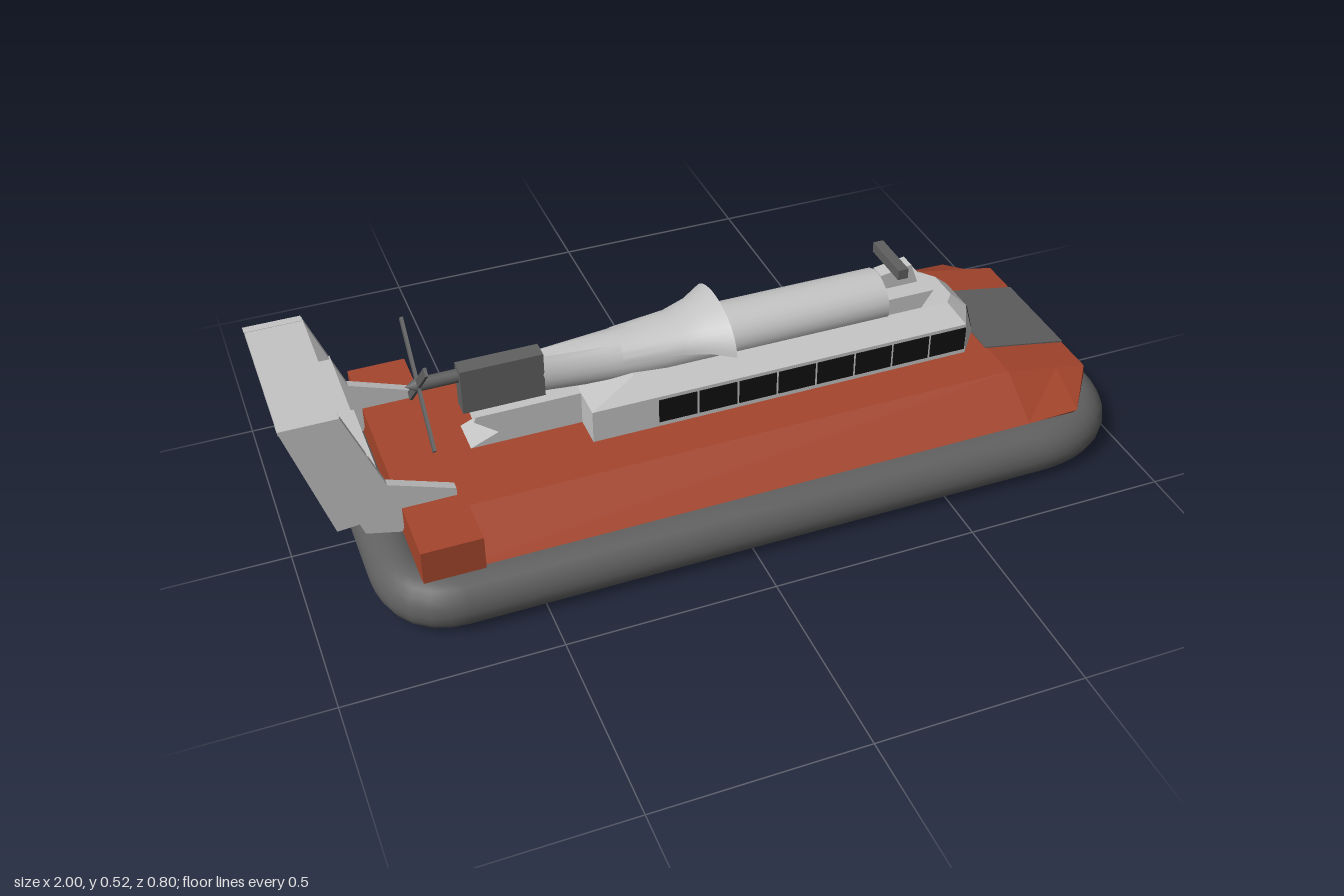
import * as THREE from 'three';
import { toCreasedNormals } from 'three/addons/utils/BufferGeometryUtils.js';

// Skin a list of rings (arrays of [x,y,z]); closed rings get end caps
function loft(rings, closed = true) {
  const out = [];
  const tri = (a, b, c) => out.push(...a, ...b, ...c);
  const n = rings[0].length;
  for (let i = 0; i < rings.length - 1; i++) {
    const p = rings[i], q = rings[i + 1];
    for (let j = 0; j < (closed ? n : n - 1); j++) {
      const k = (j + 1) % n;
      tri(p[j], q[j], q[k]);
      tri(p[j], q[k], p[k]);
    }
  }
  if (closed) {
    const first = rings[0], last = rings[rings.length - 1];
    for (let j = 1; j < n - 1; j++) {
      tri(first[0], first[j], first[j + 1]);
      tri(last[0], last[j + 1], last[j]);
    }
  }
  const g = new THREE.BufferGeometry();
  g.setAttribute('position', new THREE.Float32BufferAttribute(out, 3));
  g.computeVertexNormals();
  return g;
}

// Complete a half ring by mirroring it in z
const mirrorZ = (half) => [...half, ...half.map(([x, y, z]) => [x, y, -z]).reverse()];

// Ellipse ring (or upper half arch) in the y-z plane
function ellipse(x, cy, hw, hh, arch = false, n = 20) {
  const pts = [];
  for (let i = 0; i < (arch ? n + 1 : n); i++) {
    const a = (i / n) * Math.PI * (arch ? 1 : 2);
    pts.push([x, cy + hh * Math.sin(a), hw * Math.cos(a)]);
  }
  return pts;
}

// Side profile in x-y, extruded across z and centred on z
function plate(points, width, z = 0) {
  const shape = new THREE.Shape(points.map(([x, y]) => new THREE.Vector2(x, y)));
  const g = new THREE.ExtrudeGeometry(shape, { depth: width, bevelEnabled: false });
  return g.translate(0, 0, z - width / 2);
}

export function createModel() {
  const model = new THREE.Group();
  const material = (name, color, side = THREE.FrontSide) => {
    const m = new THREE.MeshStandardMaterial({ color, side });
    m.name = name;
    return m;
  };
  const red = material('hull red', 0xa5452c);
  const grey = material('light grey', 0xc4c4c4, THREE.DoubleSide);
  const rubber = material('dark grey', 0x606060);
  const glass = material('window black', 0x101010, THREE.DoubleSide);
  const add = (name, geometry, mat, parent = model) => {
    const mesh = new THREE.Mesh(geometry, mat);
    mesh.name = name;
    parent.add(mesh);
    return mesh;
  };
  const box = (name, mat, w, h, d, x, y, z) =>
    add(name, new THREE.BoxGeometry(w, h, d).translate(x, y, z), mat);

  // Inflated skirt: tube around a rounded rectangle
  const v = (x, z) => new THREE.Vector3(x, 0.0675, z);
  const path = new THREE.CurvePath();
  const straight = (a, b) => path.add(new THREE.LineCurve3(a, b));
  const bend = (a, b, c) => path.add(new THREE.QuadraticBezierCurve3(a, b, c));
  straight(v(-0.68, 0.335), v(0.74, 0.335));
  bend(v(0.74, 0.335), v(0.933, 0.335), v(0.933, 0.17));
  straight(v(0.933, 0.17), v(0.933, -0.17));
  bend(v(0.933, -0.17), v(0.933, -0.335), v(0.74, -0.335));
  straight(v(0.74, -0.335), v(-0.68, -0.335));
  bend(v(-0.68, -0.335), v(-0.793, -0.335), v(-0.793, -0.19));
  straight(v(-0.793, -0.19), v(-0.793, 0.19));
  bend(v(-0.793, 0.19), v(-0.793, 0.335), v(-0.68, 0.335));
  add('skirt', new THREE.TubeGeometry(path, 160, 0.0675, 20, true), rubber);

  // Hull with sloping sides and a chamfered, drooping bow
  const section = (x) => mirrorZ([[x, 0.137, 0.335], [x, 0.15, 0.35], [x, 0.226, 0.235]]);
  add('hull', loft([
    section(-0.765),
    section(0.72),
    mirrorZ([[0.85, 0.137, 0.335], [0.855, 0.15, 0.345], [0.855, 0.202, 0.235]]),
    mirrorZ([[0.915, 0.14, 0.235], [0.935, 0.165, 0.24], [0.935, 0.187, 0.235]]),
  ]), red);
  for (const s of [1, -1]) box('sternBox', red, 0.14, 0.085, 0.12, -0.695, 0.184, s * 0.291);

  // Dark panel on the bow deck
  const strip = (x, y) => mirrorZ([[x, y - 0.002, 0.13], [x, y + 0.003, 0.13]]);
  add('bowPanel', loft([strip(0.715, 0.227), strip(0.936, 0.188)]), rubber);

  // Cabin
  const level = (y, nose, noseW, side, w, aft) =>
    mirrorZ([[nose, y, noseW], [side, y, w], [aft, y, w]]);
  add('cabin', loft([
    level(0.225, 0.72, 0.05, 0.66, 0.125, -0.3),
    level(0.31, 0.695, 0.05, 0.655, 0.125, -0.3),
    level(0.346, 0.655, 0.04, 0.63, 0.07, -0.18),
  ]), grey);

  // Side windows
  const paneCount = 8, paneWidth = 0.1;
  for (const s of [1, -1])
    for (let i = 0; i < paneCount; i++)
      box('sideWindow', glass, paneWidth - 0.006, 0.062, 0.006, -0.092 + i * paneWidth, 0.27, s * 0.125);

  // Windscreen panes
  add('frontWindow', loft([
    [[0.719, 0.235, 0.047], [0.719, 0.235, -0.043]],
    [[0.701, 0.3, 0.047], [0.701, 0.3, -0.043]],
  ], false), glass);
  add('cornerWindow', loft([
    [[0.705, 0.235, -0.072], [0.665, 0.235, -0.124]],
    [[0.69, 0.3, -0.072], [0.66, 0.3, -0.124]],
  ], false), glass);

  // Engine housing, narrowing to a thin tail
  add('engineHousing', toCreasedNormals(loft([
    ellipse(-0.38, 0.367, 0.022, 0.057),
    ellipse(-0.22, 0.366, 0.058, 0.06),
    ellipse(-0.1, 0.365, 0.074, 0.063),
    ellipse(0.47, 0.365, 0.074, 0.063),
  ]), 0.6), grey);
  box('engineTail', rubber, 0.195, 0.115, 0.044, -0.475, 0.368, 0);
  add('enginePedestal', plate([
    [-0.57, 0.225], [-0.29, 0.225], [-0.29, 0.31], [-0.55, 0.31], [-0.555, 0.297], [-0.5, 0.255],
  ], 0.09), grey);

  // Flared air intake over the housing
  add('intakeCowl', toCreasedNormals(loft([
    ellipse(-0.2, 0.378, 0.062, 0.046, true),
    ellipse(-0.06, 0.378, 0.08, 0.055, true),
    ellipse(0, 0.378, 0.1, 0.07, true),
    ellipse(0.05, 0.378, 0.135, 0.088, true),
  ], false), 0.6), grey);

  // Mast block and radar bar
  add('mastBase', plate([[0.46, 0.345], [0.56, 0.345], [0.59, 0.39], [0.46, 0.39]], 0.134), grey);
  add('mast', plate([[0.47, 0.39], [0.57, 0.39], [0.55, 0.443], [0.47, 0.43]], 0.04), grey);
  box('radarBar', rubber, 0.026, 0.026, 0.136, 0.503, 0.456, 0);

  // Propeller
  const propeller = new THREE.Group();
  propeller.name = 'propeller';
  propeller.position.set(-0.663, 0.4, -0.005);
  model.add(propeller);
  add('shaft', new THREE.CylinderGeometry(0.016, 0.016, 0.1, 12).rotateZ(Math.PI / 2).translate(0.045, 0, 0), rubber, propeller);
  add('spinner', new THREE.ConeGeometry(0.018, 0.03, 12).rotateZ(Math.PI / 2).translate(-0.015, 0, 0), rubber, propeller);
  for (let i = 0; i < 4; i++) {
    const blade = add('blade', new THREE.BoxGeometry(0.007, 0.155, 0.02).translate(0, 0.078, 0), rubber, propeller);
    blade.rotation.x = Math.PI / 4 + (i * Math.PI) / 2;
  }

  // Twin tail fins joined by horizontal planes
  const fin = [
    [-1, 0.505], [-0.91, 0.205], [-0.86, 0.21], [-0.85, 0.18], [-0.77, 0.16],
    [-0.74, 0.226], [-0.64, 0.226], [-0.64, 0.245], [-0.79, 0.3], [-0.87, 0.505],
  ];
  for (const z of [0.18, -0.203]) add('tailFin', plate(fin, 0.021, z), grey);
  const planes = [[-0.998, -0.868, 0.497], [-0.955, -0.82, 0.378], [-0.905, -0.785, 0.222]];
  for (const [x0, x1, y] of planes)
    box('tailPlane', grey, x1 - x0, 0.014, 0.39, (x0 + x1) / 2, y, -0.0115);

  return model;
}
